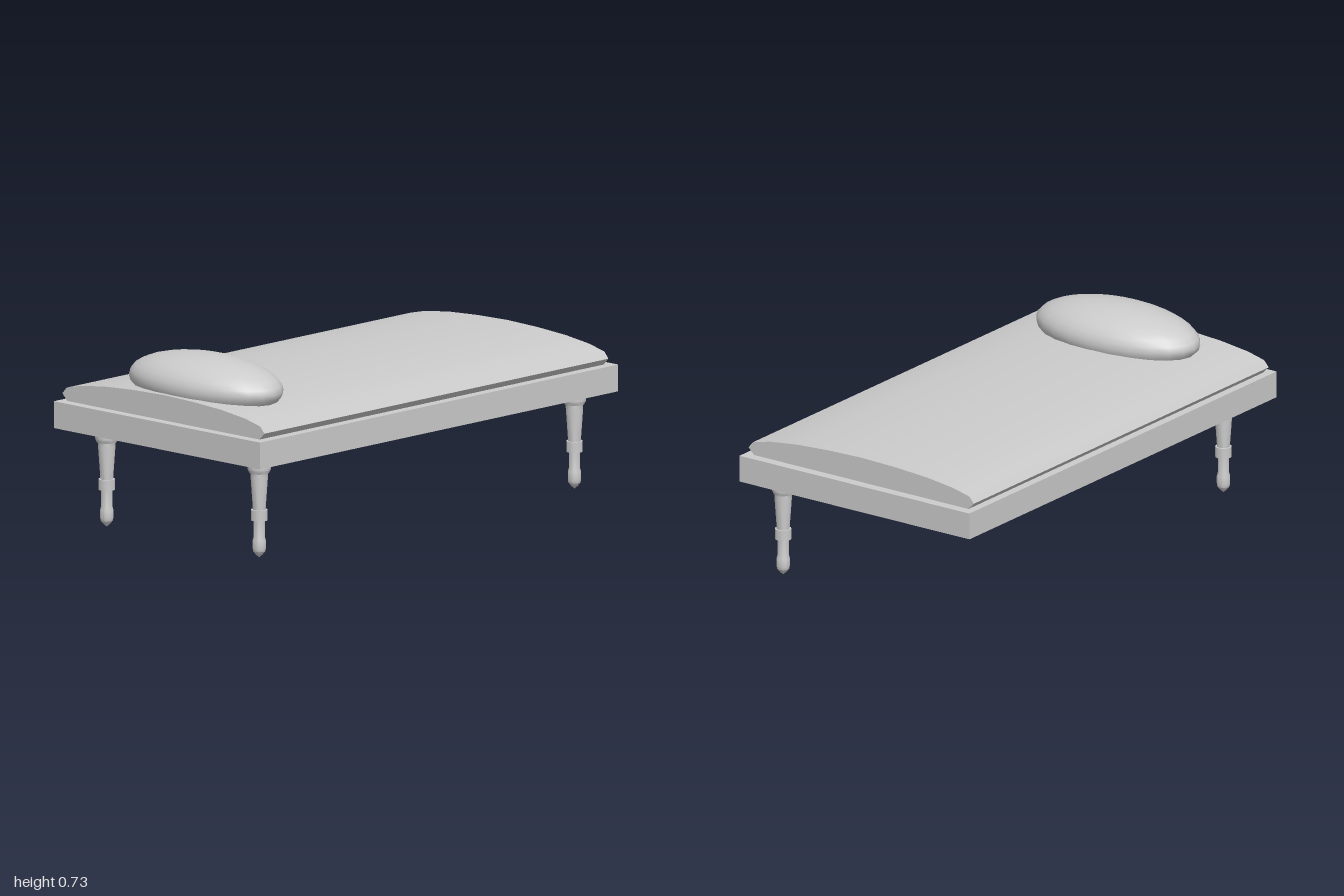
import * as THREE from 'three';
import { toCreasedNormals } from 'three/addons/utils/BufferGeometryUtils.js';

export function createModel() {
  const bed = new THREE.Group();
  bed.name = 'bed';
  const material = new THREE.MeshStandardMaterial({ color: 0xcccccc });

  const add = (name, geometry, x, y, z) => {
    const mesh = new THREE.Mesh(geometry, material);
    mesh.name = name;
    mesh.position.set(x, y, z);
    bed.add(mesh);
    return mesh;
  };

  // Flat bed base
  add('base', new THREE.BoxGeometry(1.104, 0.106, 2), 0, 0.442, 0);

  // Crowned mattress: half outline mirrored, extruded along the bed
  const half = [
    [0.515, 0.495], [0.541, 0.522], [0.519, 0.547], [0.44, 0.566],
    [0.31, 0.582], [0.16, 0.591], [0, 0.595],
  ];
  const mirrored = half.slice(0, -1).reverse().map(([x, y]) => [-x, y]);
  const outline = new THREE.Shape([...half, ...mirrored].map(([x, y]) => new THREE.Vector2(x, y)));
  const mattress = new THREE.ExtrudeGeometry(outline, { depth: 1.92, bevelEnabled: false });
  add('mattress', toCreasedNormals(mattress, 0.6), -0.003, 0, -0.96);

  // Oval pillow, sunk into the mattress
  const pillow = add('pillow', new THREE.SphereGeometry(1, 24, 16), 0.019, 0.617, 0.744);
  pillow.scale.set(0.368, 0.113, 0.2);

  // Turned legs; the back right corner has none
  const profile = [
    [0, 0.003], [0.013, 0.014], [0.024, 0.028], [0.026, 0.04], [0.026, 0.07], [0.022, 0.085],
    [0.022, 0.15], [0.032, 0.15], [0.032, 0.192], [0.025, 0.192],
    [0.034, 0.32], [0.034, 0.337], [0.038, 0.337], [0.045, 0.351],
    [0.045, 0.375], [0.039, 0.39], [0, 0.39],
  ].map(([r, y]) => new THREE.Vector2(r, y));
  const leg = toCreasedNormals(new THREE.LatheGeometry(profile, 20), 0.5);
  add('frontRightLeg', leg, -0.393, 0, 0.87);
  add('frontLeftLeg', leg, 0.424, 0, 0.87);
  add('backLeftLeg', leg, 0.424, 0, -0.889);

  return bed;
}
